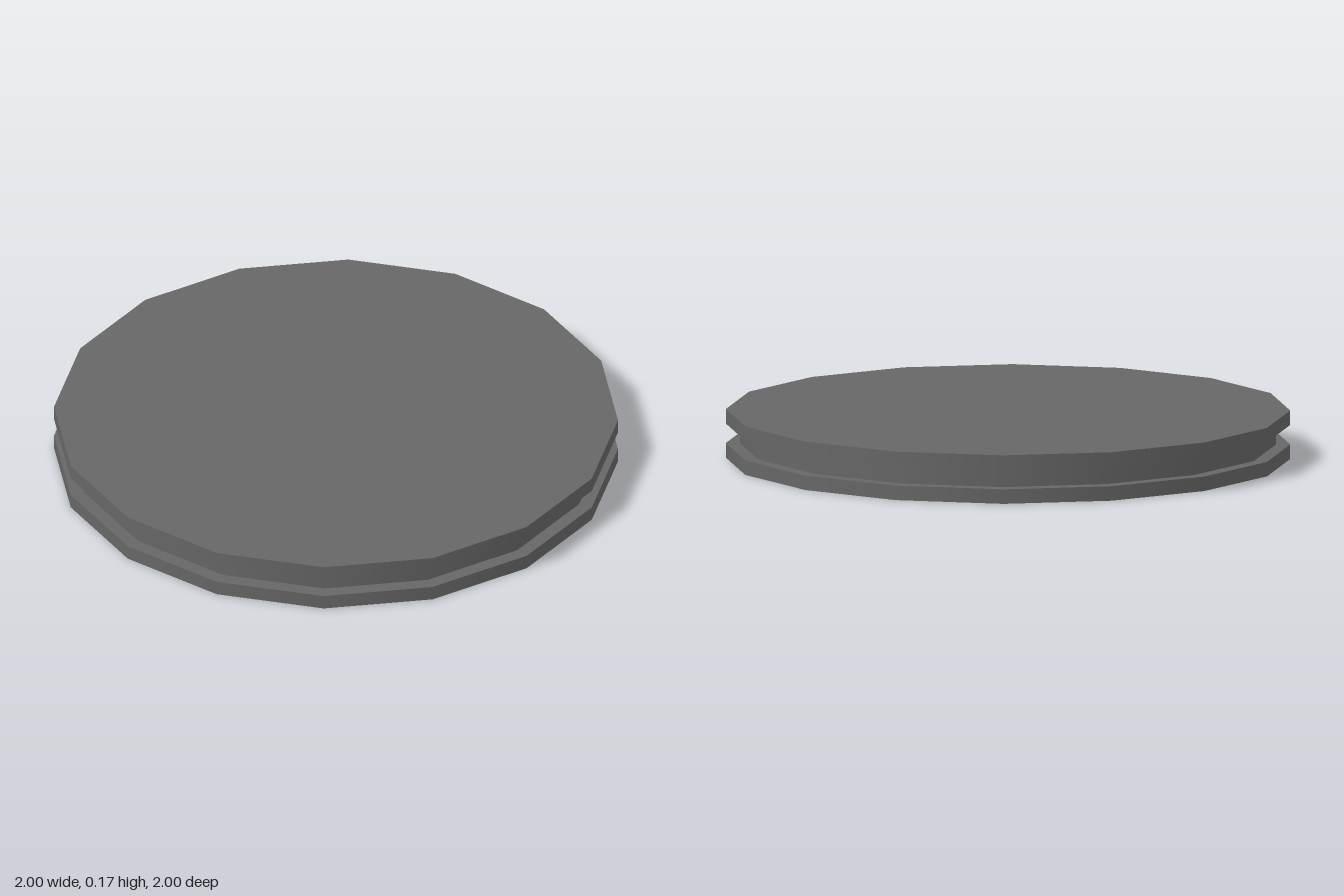
import * as THREE from 'three';

const SIDES = 16;

export function createModel() {
  const group = new THREE.Group();
  group.name = 'groovedDisc';

  const darkGrey = new THREE.MeshStandardMaterial({ color: 0x666666 });
  darkGrey.name = 'darkGrey';

  // One smooth-sided disc between two heights
  function addDisc(name, radius, bottom, top, openEnded = false) {
    const geometry = new THREE.CylinderGeometry(radius, radius, top - bottom, SIDES, 1, openEnded);
    const disc = new THREE.Mesh(geometry, darkGrey);
    disc.name = name;
    disc.position.y = (bottom + top) / 2;
    group.add(disc);
  }

  addDisc('lowerPlate', 1, 0, 0.052);
  // Recessed core forms the groove; its ends are covered by the plates
  addDisc('core', 0.95, 0.052, 0.122, true);
  addDisc('upperPlate', 1, 0.122, 0.174);

  return group;
}
